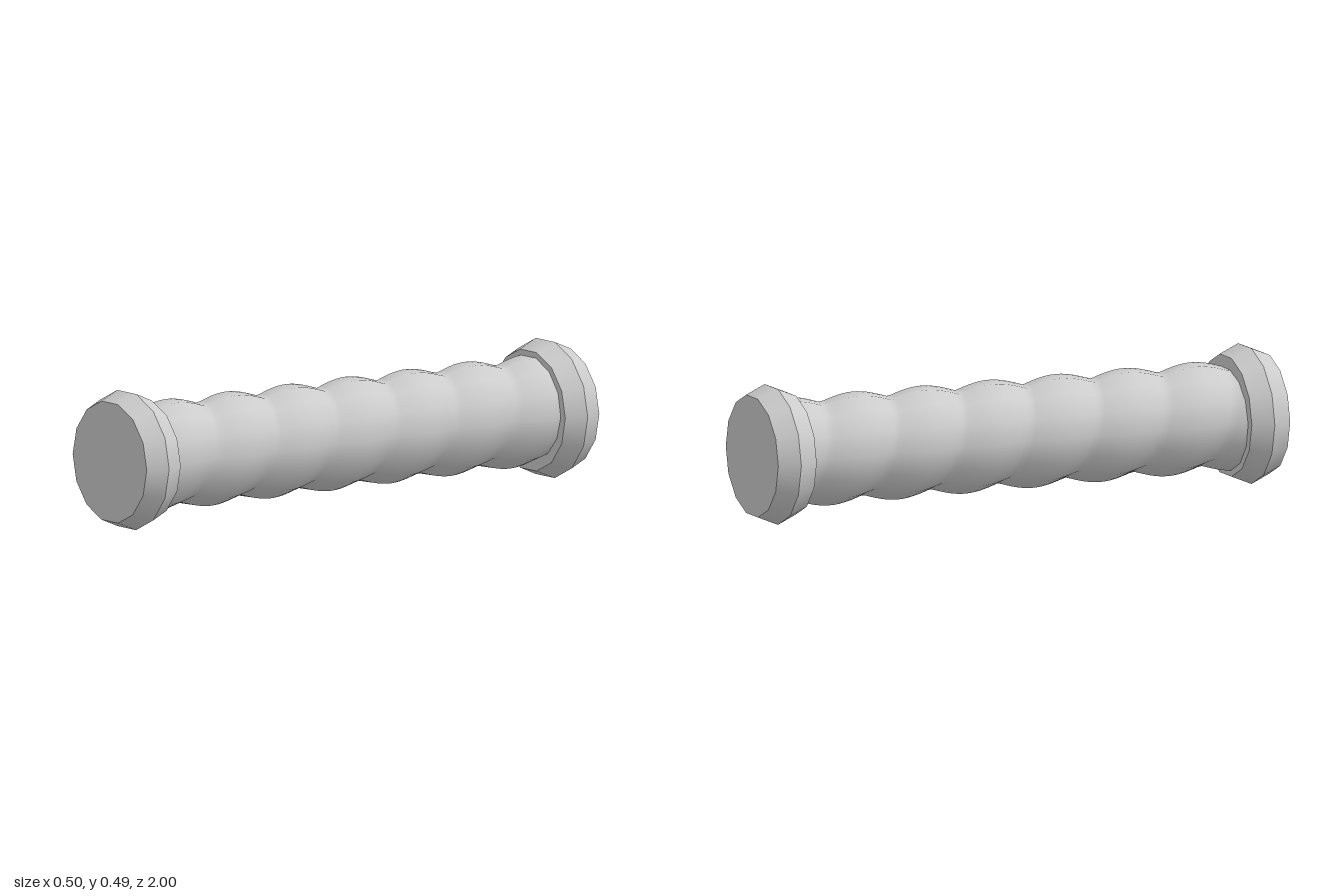
import * as THREE from 'three';

const SIDES = 14;
const AXIS_Y = 0.2437;
const PITCH = 0.264; // length of one thread turn

// One end collar: two tapered rings meeting at a ridge, closed by flat discs
function makeCollar(name, dir, material) {
  const collar = new THREE.Group();
  collar.name = name;
  const add = (part, geometry, z) => {
    geometry.rotateX(dir * Math.PI / 2);
    const mesh = new THREE.Mesh(geometry, material);
    mesh.name = part;
    mesh.position.z = dir * z;
    collar.add(mesh);
  };
  const ring = (top, bottom) =>
    new THREE.CylinderGeometry(top, bottom, 0.075, SIDES, 1, true, Math.PI / 2);
  const disc = (facing) =>
    new THREE.CircleGeometry(0.218, SIDES).rotateX(-facing * Math.PI / 2);
  add('outerTaper', ring(0.218, 0.25), 0.9625);
  add('innerTaper', ring(0.25, 0.218), 0.8875);
  add('endFace', disc(1), 1);
  add('innerFace', disc(-1), 0.85);
  return collar;
}

// Shaft with a single rounded thread winding along it
function makeShaftGeometry() {
  const rows = 90, half = 0.855;
  const positions = [], index = [];
  for (let j = 0; j <= rows; j++) {
    const z = (j - rows / 2) * (2 * half / rows);
    for (let i = 0; i < SIDES; i++) {
      const a = (i / SIDES) * Math.PI * 2;
      const valley = PITCH * (Math.PI - a) / (Math.PI * 2);
      const r = 0.17 + 0.027 * Math.abs(Math.sin(Math.PI * (z - valley) / PITCH));
      positions.push(r * Math.cos(a), r * Math.sin(a), z);
    }
  }
  // Diagonals follow the thread
  for (let j = 0; j < rows; j++) {
    for (let i = 0; i < SIDES; i++) {
      const n = (i + 1) % SIDES;
      const a = j * SIDES + i, b = j * SIDES + n;
      const c = a + SIDES, d = b + SIDES;
      index.push(a, b, c, b, d, c);
    }
  }
  const geometry = new THREE.BufferGeometry();
  geometry.setAttribute('position', new THREE.Float32BufferAttribute(positions, 3));
  geometry.setIndex(index);
  geometry.computeVertexNormals();
  return geometry;
}

export function createModel() {
  const grey = new THREE.MeshStandardMaterial({ color: 0xcccccc });
  grey.name = 'light grey';

  const model = new THREE.Group();
  model.name = 'threadedRod';

  const shaft = new THREE.Mesh(makeShaftGeometry(), grey);
  shaft.name = 'threadedShaft';
  model.add(shaft, makeCollar('frontCollar', 1, grey), makeCollar('backCollar', -1, grey));
  for (const part of model.children) part.position.y = AXIS_Y;
  return model;
}
